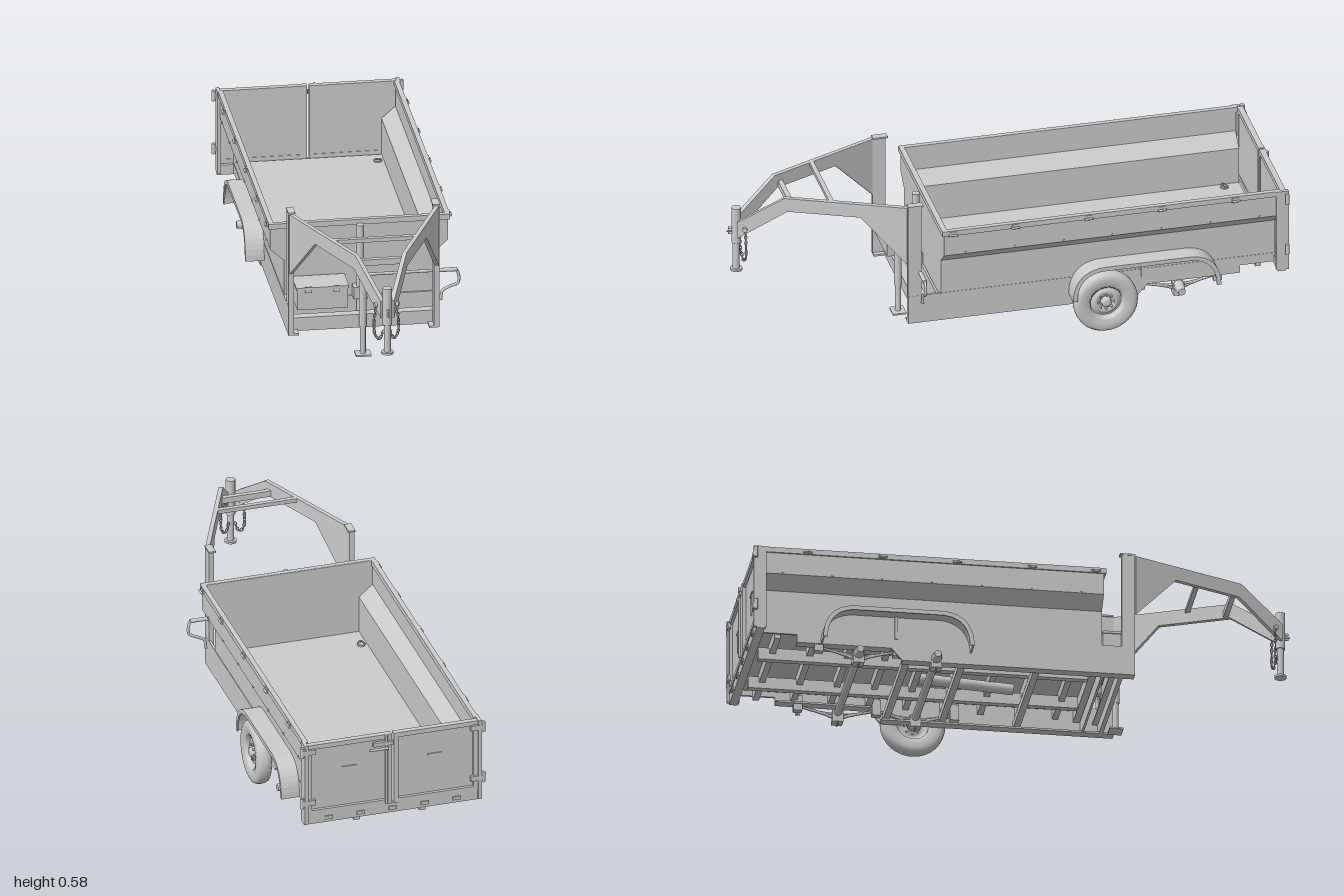
import * as THREE from 'three';

const mat = new THREE.MeshStandardMaterial({ color: 0xcccccc, side: THREE.DoubleSide });
const V = (x, y, z) => new THREE.Vector3(x, y, z);

export function createModel() {
  const model = new THREE.Group();
  model.name = 'gooseneckDumpTrailer';
  const body = new THREE.Group();
  body.name = 'trailer';
  body.position.x = -0.005;
  model.add(body);

  // helpers
  const add = (name, geo, x = 0, y = 0, z = 0) => {
    const m = new THREE.Mesh(geo, mat);
    m.name = name;
    m.position.set(x, y, z);
    body.add(m);
    return m;
  };
  // box given by its limits
  const box = (name, x0, x1, y0, y1, z0, z1) =>
    add(name, new THREE.BoxGeometry(Math.abs(x1 - x0), y1 - y0, Math.abs(z1 - z0)),
      (x0 + x1) / 2, (y0 + y1) / 2, (z0 + z1) / 2);
  const rod = (name, a, b, r, r2 = r, seg = 16) => {
    const m = add(name, new THREE.CylinderGeometry(r2, r, a.distanceTo(b), seg));
    m.position.copy(a).add(b).multiplyScalar(0.5);
    m.quaternion.setFromUnitVectors(V(0, 1, 0), b.clone().sub(a).normalize());
    return m;
  };
  const poly = pts => new THREE.Shape(pts.map(p => new THREE.Vector2(p[0], p[1])));
  const extrude = (shape, depth) =>
    new THREE.ExtrudeGeometry(shape, { depth, bevelEnabled: false, curveSegments: 10 }).translate(0, 0, -depth / 2);
  // outline in (z, y), thickness along x
  const plateX = (name, shape, width, x) => add(name, extrude(shape, width).rotateY(-Math.PI / 2), x);

  // bed: floor and kinked side walls as one section swept along z
  const outer = [[0.271, 0.195], [0.271, 0.342], [0.321, 0.387], [0.321, 0.487]];
  const inner = [[0.313, 0.487], [0.313, 0.391], [0.263, 0.346], [0.263, 0.207]];
  const half = [...outer, ...inner];
  const mirrored = half.map(([x, y]) => [-x, y]).reverse();
  add('bedShell', extrude(poly([...half, ...mirrored]), 1.23), 0, 0, -0.335);
  const wall = [...outer, ...outer.map(([x, y]) => [-x, y]).reverse()];
  add('bedFrontWall', extrude(poly(wall), 0.012), 0, 0, 0.274);
  box('frontTopRail', -0.325, 0.325, 0.468, 0.488, 0.27, 0.288);
  box('bedFrontBeam', -0.262, 0.262, 0.15, 0.196, 0.255, 0.28);

  for (const s of [-1, 1]) {
    // rails, tarp hooks and rivets
    box('topRail', s * 0.309, s * 0.327, 0.468, 0.488, -0.955, 0.285);
    for (const z of [0.25, 0.02, -0.25, -0.52, -0.79]) {
      box('hookBase', s * 0.325, s * 0.331, 0.468, 0.486, z - 0.012, z + 0.012);
      rod('tarpHook', V(s * 0.334, 0.473, z - 0.016), V(s * 0.334, 0.473, z + 0.016), 0.004, 0.004, 8);
    }
    for (let z = 0.2; z > -0.9; z -= 0.18)
      rod('rivet', V(s * 0.32, 0.393, z), V(s * 0.325, 0.393, z), 0.004, 0.004, 8);

    // chassis side, with a step up toward the rear
    plateX('chassisSide', poly([[0.40, 0.10], [-0.44, 0.10], [-0.48, 0.145], [-0.82, 0.145],
      [-0.82, 0.175], [-0.95, 0.175], [-0.95, 0.21], [0.40, 0.21]]), 0.009, s * 0.268);
    box('chassisFlange', s * 0.235, s * 0.27, 0.10, 0.107, -0.44, 0.40);
    box('rearFlange', s * 0.235, s * 0.27, 0.145, 0.152, -0.82, -0.48);
    box('bedLongRail', s * 0.11, s * 0.135, 0.135, 0.18, -0.94, 0.25);
    box('gooseneckUpright', s * 0.253, s * 0.272, 0.10, 0.572, 0.352, 0.40);
    box('uprightCap', s * 0.248, s * 0.274, 0.57, 0.576, 0.345, 0.40);

    // gooseneck beam converging on the coupler
    const dx = -s * 0.245, dz = 0.565, k = Math.hypot(dx, dz) / dz;
    const profile = [[0.40, 0.34], [0.40, 0.57], [0.807, 0.57], [0.965, 0.455],
      [0.965, 0.39], [0.797, 0.517], [0.556, 0.517]].map(([z, y]) => [(z - 0.40) * k, y]);
    const beam = add('gooseneckBeam', extrude(poly(profile), 0.016), s * 0.262, 0, 0.40);
    beam.rotation.y = Math.atan2(-dz, dx);

    // fender: arched band with a deeper outer lip
    const arch = (t) => {
      const z0 = -0.19, z1 = -0.735, top = 0.272, sh = new THREE.Shape();
      sh.moveTo(z0, 0.145);
      sh.bezierCurveTo(z0, 0.22, z0 - 0.04, top, z0 - 0.12, top);
      sh.lineTo(z1 + 0.12, top);
      sh.bezierCurveTo(z1 + 0.04, top, z1, 0.22, z1, 0.145);
      sh.lineTo(z1 + t, 0.145);
      sh.bezierCurveTo(z1 + t, 0.22 - t / 2, z1 + 0.05, top - t, z1 + 0.12, top - t);
      sh.lineTo(z0 - 0.12, top - t);
      sh.bezierCurveTo(z0 - 0.05, top - t, z0 - t, 0.22 - t / 2, z0 - t, 0.145);
      return sh;
    };
    plateX('fender', arch(0.006), 0.068, s * 0.306);
    plateX('fenderLip', arch(0.016), 0.005, s * 0.338);
    box('fenderBrace', s * 0.271, s * 0.277, 0.18, 0.268, -0.468, -0.456);

    // leaf springs, hangers, hubs
    for (const z of [-0.317, -0.597]) {
      for (let i = 0; i < 3; i++) {
        const w = 0.125 - i * 0.035, y = 0.127 - i * 0.007;
        const leaf = new THREE.QuadraticBezierCurve3(V(s * 0.252, y + 0.01, z - w), V(s * 0.252, y - 0.03, z), V(s * 0.252, y + 0.01, z + w));
        const g = new THREE.TubeGeometry(leaf, 12, 0.005, 6);
        add('leafSpring', g);
      }
      box('axleClamp', s * 0.232, s * 0.272, 0.082, 0.126, z - 0.02, z + 0.02);
      for (const e of [-0.011, 0.011])
        rod('clampBolt', V(s * 0.252 + e, 0.075, z), V(s * 0.252 + e, 0.13, z), 0.003, 0.003, 6);
      rod('axleHub', V(s * 0.26, 0.117, z), V(s * 0.313, 0.117, z), 0.021, 0.013);
    }
    for (const z of [-0.175, -0.457, -0.74])
      box('springHanger', s * 0.24, s * 0.266, 0.12, 0.18, z - 0.016, z + 0.016);

    // tie-down rings on the floor
    for (const z of [0.17, -0.89]) {
      add('ringPlate', new THREE.CylinderGeometry(0.015, 0.015, 0.005, 14), s * 0.24, 0.209, z);
      add('tieDownRing', new THREE.TorusGeometry(0.011, 0.003, 6, 14).rotateX(1.2), s * 0.24, 0.214, z);
    }

    // rear door leaf with frame, hinges and latch bar
    const a = s * 0.004, b = s * 0.318;
    box('doorPanel', a, b, 0.205, 0.482, -0.967, -0.959);
    box('doorFrameTop', a, b, 0.467, 0.485, -0.978, -0.957);
    box('doorFrameBottom', a, b, 0.203, 0.22, -0.978, -0.957);
    box('doorFrameInner', a, s * 0.02, 0.203, 0.485, -0.98, -0.957);
    box('doorFrameOuter', s * 0.302, b, 0.203, 0.485, -0.978, -0.957);
    box('rearPost', s * 0.318, s * 0.331, 0.17, 0.488, -0.985, -0.94);
    for (const y of [0.255, 0.46]) {
      box('hingeArm', s * 0.29, s * 0.338, y - 0.01, y + 0.01, -0.986, -0.974);
      rod('hingePin', V(s * 0.339, y - 0.02, -0.978), V(s * 0.339, y + 0.02, -0.978), 0.007, 0.007, 12);
    }
    box('doorPullStem', s * 0.157, s * 0.163, 0.29, 0.37, -0.971, -0.966);
    box('doorPullBar', s * 0.133, s * 0.187, 0.37, 0.376, -0.971, -0.966);

    // safety chain: loop of alternating links
    const loop = new THREE.CatmullRomCurve3([V(s * 0.035, 0.432, 0.94), V(s * 0.044, 0.37, 0.94),
      V(s * 0.04, 0.315, 0.94), V(s * 0.026, 0.302, 0.945), V(s * 0.013, 0.33, 0.95)]);
    const n = 17;
    for (let i = 0; i < n; i++) {
      const link = add('chainLink', new THREE.TorusGeometry(0.0055, 0.0019, 6, 10).scale(0.85, 1.35, 1));
      link.position.copy(loop.getPointAt(i / (n - 1)));
      link.quaternion.setFromUnitVectors(V(0, 1, 0), loop.getTangentAt(i / (n - 1)));
      link.rotateY(i % 2 ? Math.PI / 2 : 0);
    }
    rod('chainHook', V(s * 0.02, 0.432, 0.935), V(s * 0.045, 0.432, 0.945), 0.009, 0.009, 10);
  }

  // rear sill and door latch
  box('rearSill', -0.331, 0.331, 0.165, 0.202, -0.975, -0.945);
  for (let i = -2; i <= 2; i++) box('sillLight', i * 0.12 - 0.015, i * 0.12 + 0.015, 0.177, 0.19, -0.98, -0.974);
  box('latchPlate', 0.0, 0.075, 0.445, 0.46, -0.988, -0.976);
  rod('latchRod', V(0.025, 0.21, -0.983), V(0.025, 0.485, -0.983), 0.005, 0.005, 10);
  rod('latchHandle', V(0.02, 0.435, -0.99), V(0.09, 0.435, -0.99), 0.005, 0.005, 10);

  // underside: cross members, hoist frame and axles
  for (let i = 0; i < 9; i++) box('crossMember', -0.264, 0.264, 0.158, 0.196, 0.18 - i * 0.135, 0.202 - i * 0.135);
  for (const z of [0.05, -0.22, -0.42]) box('chassisCrossTube', -0.264, 0.264, 0.108, 0.135, z - 0.012, z + 0.012);
  rod('hoistCylinder', V(0, 0.14, 0.0), V(0, 0.16, -0.34), 0.02);
  for (const z of [-0.317, -0.597]) rod('axle', V(-0.27, 0.117, z), V(0.27, 0.117, z), 0.014);

  // front of chassis, toolbox and lift cylinder
  box('frontCrossMember', -0.264, 0.264, 0.10, 0.15, 0.345, 0.36);
  box('frontCrossFlange', -0.264, 0.264, 0.145, 0.151, 0.325, 0.36);
  box('frontLowerPlate', -0.264, 0.264, 0.10, 0.195, 0.282, 0.29);
  box('toolbox', -0.24, -0.058, 0.195, 0.274, 0.288, 0.395);
  box('toolboxLid', -0.244, -0.054, 0.272, 0.281, 0.286, 0.399);
  for (const x of [-0.2, -0.1]) box('toolboxLatch', x - 0.012, x + 0.012, 0.262, 0.284, 0.396, 0.402);
  box('cylinderBracket', -0.026, 0.026, 0.195, 0.24, 0.285, 0.325);
  rod('liftCylinder', V(0, 0.14, 0.305), V(0, 0.475, 0.305), 0.014);

  // landing jack with crank shaft
  rod('jackTube', V(0, 0.11, 0.37), V(0, 0.315, 0.37), 0.0135);
  rod('jackLeg', V(0, 0.004, 0.37), V(0, 0.12, 0.37), 0.0105);
  add('jackFoot', new THREE.BoxGeometry(0.056, 0.006, 0.05), 0, 0.003, 0.37);
  rod('crankShaft', V(0, 0.302, 0.355), V(0.28, 0.302, 0.355), 0.0055);
  rod('crankSleeve', V(0.275, 0.302, 0.355), V(0.342, 0.302, 0.355), 0.0075);
  const crank = new THREE.CatmullRomCurve3([V(0.34, 0.302, 0.355), V(0.348, 0.28, 0.355), V(0.345, 0.25, 0.355),
    V(0.315, 0.235, 0.35), V(0.29, 0.22, 0.35), V(0.284, 0.185, 0.35)]);
  add('crankHandle', new THREE.TubeGeometry(crank, 24, 0.0055, 8));

  // gooseneck cross bars and coupler
  box('gooseneckBar', -0.155, 0.155, 0.555, 0.57, 0.643, 0.66);
  box('gooseneckBar', -0.1, 0.1, 0.52, 0.543, 0.772, 0.79);
  rod('couplerTube', V(0, 0.365, 0.965), V(0, 0.505, 0.965), 0.017, 0.017, 24);
  rod('couplerInnerTube', V(0, 0.26, 0.965), V(0, 0.37, 0.965), 0.0125, 0.0125, 24);
  rod('couplerFlange', V(0, 0.252, 0.965), V(0, 0.26, 0.965), 0.022, 0.022, 24);
  for (const y of [0.405, 0.424]) rod('couplerBolt', V(0, y, 0.975), V(0, y, 0.994), 0.005, 0.005, 8);
  rod('couplerPin', V(0, 0.412, 0.98), V(0, 0.412, 1.0), 0.003, 0.003, 8);

  // the single fitted wheel
  const lathe = (name, pts) => {
    const g = new THREE.LatheGeometry(pts.map(p => new THREE.Vector2(p[0], p[1])), 40).rotateZ(-Math.PI / 2);
    add(name, g, 0.304, 0.1175, -0.317);
  };
  lathe('tire', [[0.066, -0.022], [0.08, -0.027], [0.1, -0.028], [0.111, -0.023], [0.1165, -0.014], [0.1175, 0],
    [0.1165, 0.014], [0.111, 0.023], [0.1, 0.028], [0.08, 0.027], [0.066, 0.022]]);
  lathe('rim', [[0.066, -0.022], [0.06, -0.018], [0.057, 0], [0.06, 0.018], [0.066, 0.023]]);
  lathe('wheelDisc', [[0.058, 0.002], [0.052, 0.002], [0.045, 0.012], [0.034, 0.013], [0.022, 0.006], [0.018, 0.006],
    [0.017, 0.022], [0.012, 0.026], [0, 0.026]]);
  for (let i = 0; i < 8; i++) {
    const a = i * Math.PI / 4, y = 0.1175 + Math.cos(a) * 0.028, z = -0.317 + Math.sin(a) * 0.028;
    rod('lugNut', V(0.31, y, z), V(0.323, y, z), 0.004, 0.004, 6);
  }
  return model;
}
